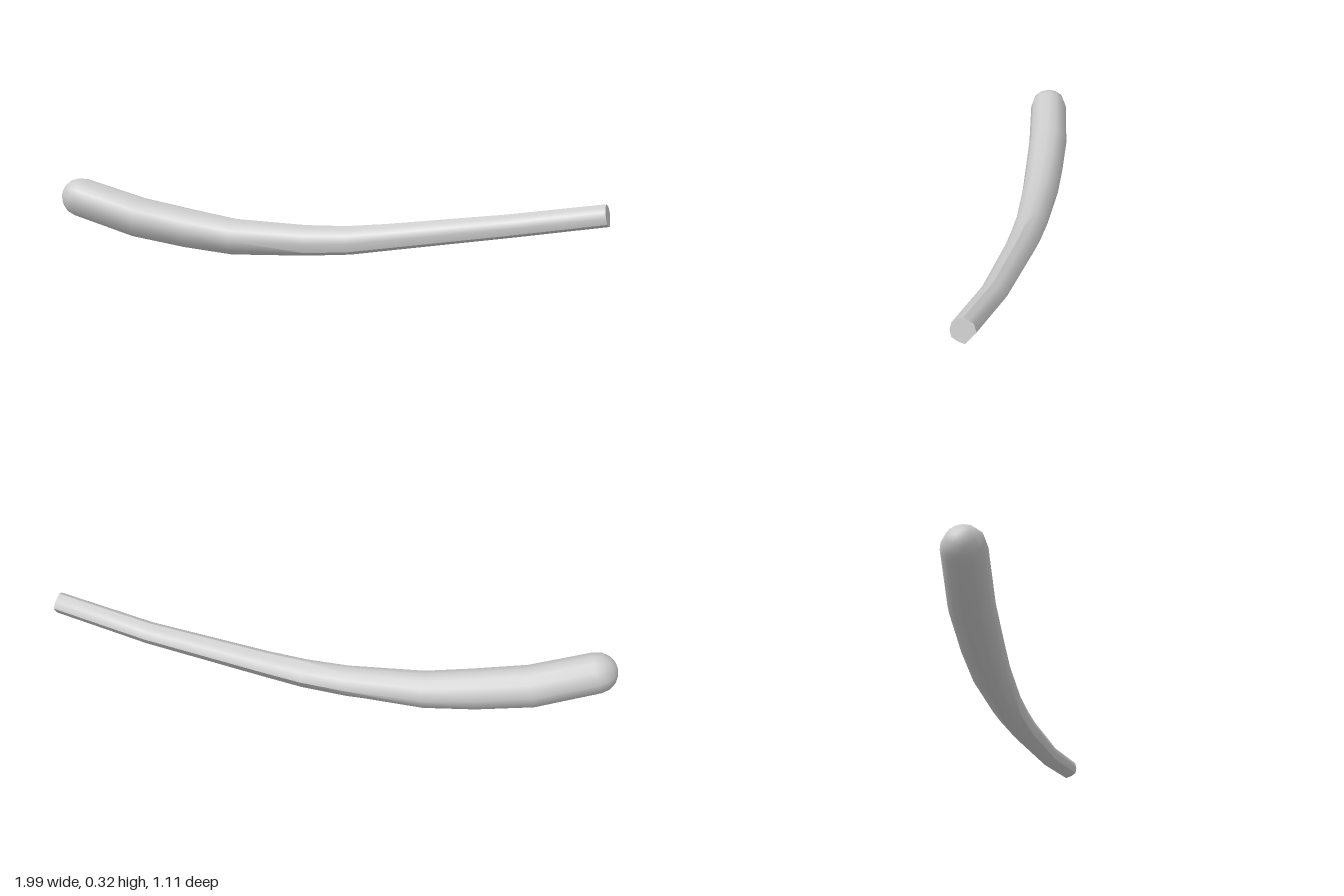
import * as THREE from 'three';
import { toCreasedNormals } from 'three/addons/utils/BufferGeometryUtils.js';

// Angles round the cross-section (0 = front, 90 = up) and the radius there once the grip is faceted
const SECTION = [
  [0, 0.96], [31, 1], [60, 0.94], [90, 1], [116, 0.92], [142, 1],
  [180, 1], [206, 0.8], [232, 0.8], [258, 1], [292, 0.9], [326, 1],
];

// Stations along the stick: x, y, z, radius, how faceted
const STATIONS = [
  [-0.92, 0.21, 0.475, 0.08, 0],
  [-0.72, 0.135, 0.338, 0.083, 0],
  [-0.535, 0.1, 0.228, 0.08, 0],
  [-0.365, 0.076, 0.13, 0.075, 0.2],
  [-0.095, 0.08, -0.017, 0.065, 0.7],
  [0.06, 0.093, -0.095, 0.061, 1],
  [0.2, 0.118, -0.166, 0.056, 1],
  [0.625, 0.2, -0.373, 0.048, 1],
  [0.975, 0.277, -0.517, 0.045, 1],
];

function ring(center, tangent, radius, facet) {
  const side = new THREE.Vector3(-tangent.z, 0, tangent.x).normalize();
  const up = new THREE.Vector3().crossVectors(side, tangent).normalize();
  return SECTION.map(([deg, k]) => {
    const a = THREE.MathUtils.degToRad(deg);
    const r = radius * THREE.MathUtils.lerp(1, k, facet);
    return center.clone().addScaledVector(side, r * Math.cos(a)).addScaledVector(up, r * Math.sin(a));
  });
}

function stickGeometry() {
  const centers = STATIONS.map(([x, y, z]) => new THREE.Vector3(x, y, z));
  const last = centers.length - 1;
  const tangents = centers.map((_, i) =>
    centers[Math.min(i + 1, last)].clone().sub(centers[Math.max(i - 1, 0)]).normalize());

  // Rounded head: rings of a hemisphere
  const rings = [];
  const headRadius = STATIONS[0][3];
  for (const deg of [20, 42, 66]) {
    const a = THREE.MathUtils.degToRad(deg);
    const c = centers[0].clone().addScaledVector(tangents[0], -headRadius * Math.cos(a));
    rings.push(ring(c, tangents[0], headRadius * Math.sin(a), 0));
  }
  // Body
  STATIONS.forEach(([, , , r, facet], i) => rings.push(ring(centers[i], tangents[i], r, facet)));

  const points = rings.flat();
  const n = SECTION.length;
  const index = [];
  for (let i = 0; i < rings.length - 1; i++) {
    for (let j = 0; j < n; j++) {
      const k = (j + 1) % n;
      const a = i * n + j, b = i * n + k, c = a + n, d = b + n;
      index.push(a, c, b, b, c, d);
    }
  }
  // Head tip and flat grip end
  const tip = points.push(centers[0].clone().addScaledVector(tangents[0], -headRadius)) - 1;
  const butt = points.push(centers[last].clone()) - 1;
  const end = (rings.length - 1) * n;
  for (let j = 0; j < n; j++) {
    const k = (j + 1) % n;
    index.push(tip, j, k, butt, end + k, end + j);
  }

  const geometry = new THREE.BufferGeometry().setFromPoints(points);
  geometry.setIndex(index);
  return toCreasedNormals(geometry, 0.75);
}

export function createModel() {
  const group = new THREE.Group();
  group.name = 'bentStick';
  const stick = new THREE.Mesh(stickGeometry(), new THREE.MeshStandardMaterial({ color: 0xcccccc }));
  stick.name = 'stick';
  group.add(stick);
  return group;
}
